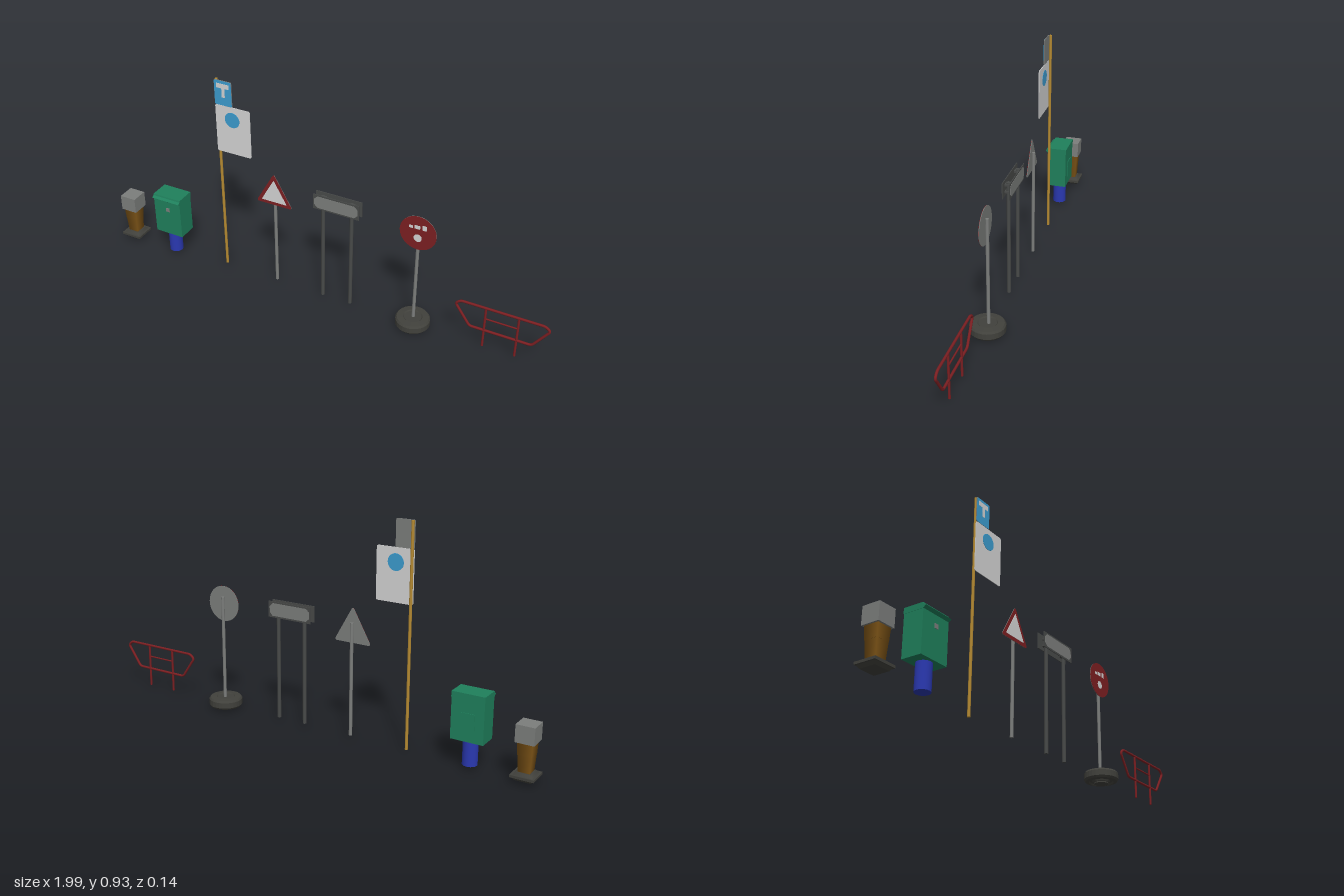
import * as THREE from 'three';

const mat = (name, color) => Object.assign(new THREE.MeshStandardMaterial({ color }), { name });
const M = {
  white: mat('sign white', 0xd4d4d4),
  grey: mat('metal grey', 0x7c7e7c),
  dark: mat('dark metal', 0x484a49),
  rubber: mat('rubber', 0x41413c),
  green: mat('box green', 0x1f805c),
  blue: mat('post blue', 0x2a38b0),
  gold: mat('pole gold', 0xb58a32),
  brown: mat('post brown', 0x7a5216),
  red: mat('sign red', 0x7c1f22),
  sky: mat('sky blue', 0x3c9ccf),
};

function add(group, name, geo, material, x = 0, y = 0, z = 0) {
  const m = new THREE.Mesh(geo, material);
  m.name = name;
  m.position.set(x, y, z);
  group.add(m);
  return m;
}
const box = (w, h, d) => new THREE.BoxGeometry(w, h, d);

// Upright post between two heights
function post(g, name, material, x, z, r, y0, y1, sides = 12) {
  return add(g, name, new THREE.CylinderGeometry(r, r, y1 - y0, sides), material, x, (y0 + y1) / 2, z);
}
// Thin disc facing front
function disc(g, name, material, x, y, z, r, t) {
  const m = add(g, name, new THREE.CylinderGeometry(r, r, t, 32), material, x, y, z);
  m.rotation.x = Math.PI / 2;
}
// Flat plate from outline points, optionally with corner rounding
function plate(pts, depth, round = 0) {
  const s = new THREE.Shape();
  const v = pts.map(p => new THREE.Vector2(...p));
  v.forEach((p, i) => {
    const a = v[(i + v.length - 1) % v.length], b = v[(i + 1) % v.length];
    const p0 = p.clone().add(a.clone().sub(p).setLength(round));
    const p1 = p.clone().add(b.clone().sub(p).setLength(round));
    if (i) s.lineTo(p0.x, p0.y); else s.moveTo(p0.x, p0.y);
    if (round) s.quadraticCurveTo(p.x, p.y, p1.x, p1.y);
  });
  return new THREE.ExtrudeGeometry(s, { depth, bevelEnabled: false, curveSegments: 5 });
}
const rect = (w, h) => [[-w / 2, -h / 2], [w / 2, -h / 2], [w / 2, h / 2], [-w / 2, h / 2]];

// Four-sided tapered block with flat sides to the axes
function taper(top, bottom, h) {
  const g = new THREE.CylinderGeometry(top * Math.SQRT1_2, bottom * Math.SQRT1_2, h, 4);
  g.rotateY(Math.PI / 4);
  return g.toNonIndexed();
}

function bollardLamp() {
  const g = new THREE.Group();
  g.name = 'bollardLamp';
  add(g, 'foot', taper(0.082, 0.066, 0.012), M.rubber, 0, 0.021);
  add(g, 'footRim', box(0.094, 0.01, 0.09), M.rubber, 0, 0.032);
  add(g, 'footTop', taper(0.056, 0.076, 0.01), M.rubber, 0, 0.042);
  add(g, 'lowerPost', taper(0.054, 0.046, 0.068), M.brown, 0, 0.08);
  add(g, 'upperPost', taper(0.06, 0.055, 0.052), M.brown, 0, 0.14);
  add(g, 'head', box(0.075, 0.07, 0.075), M.grey, 0, 0.2);
  g.position.x = -0.953;
  return g;
}

function serviceBox() {
  const g = new THREE.Group();
  g.name = 'serviceBox';
  post(g, 'foot', M.blue, 0, 0.006, 0.03, 0.015, 0.125, 24);
  add(g, 'body', box(0.134, 0.17, 0.085), M.green, 0, 0.205, 0.006);
  // Lid with a projecting front lip
  const lid = plate([[0.048, 0.288], [0.06, 0.298], [0.048, 0.304], [0.046, 0.311], [-0.038, 0.311], [-0.038, 0.288]].map(([z, y]) => [-z, y]).reverse(), 0.136);
  lid.rotateY(Math.PI / 2);
  add(g, 'lid', lid, M.green, -0.068);
  add(g, 'lock', box(0.018, 0.018, 0.004), M.grey, 0.003, 0.247, 0.049);
  add(g, 'backPlate', box(0.06, 0.075, 0.004), M.green, 0, 0.197, -0.037);
  g.position.x = -0.728;
  return g;
}

function stopSign() {
  const g = new THREE.Group();
  g.name = 'stopSign';
  post(g, 'pole', M.gold, -0.464, -0.006, 0.006, 0.015, 0.925);
  add(g, 'largeBoard', plate(rect(0.16, 0.215), 0.003, 0.008), M.white, -0.39, 0.707, 0.001);
  disc(g, 'blueDisc', M.sky, -0.393, 0.757, 0.0025, 0.034, 0.006);
  add(g, 'smallBoard', plate(rect(0.08, 0.11), 0.003, 0.006), M.grey, -0.43, 0.87, 0.001);
  add(g, 'smallBoardFace', plate(rect(0.078, 0.108), 0.001, 0.006), M.sky, -0.43, 0.87, 0.004);
  // Simple pale symbol
  add(g, 'symbolBar', box(0.058, 0.02, 0.001), M.white, -0.43, 0.902, 0.0055);
  add(g, 'symbolStem', box(0.014, 0.04, 0.001), M.white, -0.428, 0.872, 0.0055);
  return g;
}

function warningSign() {
  const g = new THREE.Group();
  g.name = 'warningSign';
  post(g, 'pole', M.grey, 0, -0.004, 0.007, 0.015, 0.49);
  const tri = k => [[-0.084 * k, -0.049 * k], [0.084 * k, -0.049 * k], [0, 0.1 * k]];
  add(g, 'backing', plate(tri(1), 0.002, 0.014), M.grey, 0, 0.455, 0.002);
  add(g, 'redBorder', plate(tri(1), 0.001, 0.014), M.red, 0, 0.455, 0.004);
  add(g, 'whiteField', plate(tri(0.7), 0.001, 0.004), M.white, 0, 0.455, 0.0055);
  g.position.x = -0.208;
  return g;
}

function nameBoard() {
  const g = new THREE.Group();
  g.name = 'nameBoard';
  for (const x of [-0.064, 0.064]) {
    post(g, 'post', M.dark, x, 0, 0.008, 0.015, 0.515);
    for (const y of [0.475, 0.505]) add(g, 'bracket', box(0.024, 0.008, 0.028), M.dark, x, y);
  }
  const w = 0.096, h = 0.027, c = 0.014;
  const panel = [[-w + c, -h], [w - c, -h], [w, -h + c], [w, h - c], [w - c, h], [-w + c, h], [-w, h - c], [-w, -h + c]];
  for (const s of [1, -1]) {
    add(g, 'board', box(0.205, 0.068, 0.003), M.dark, 0, 0.49, s * 0.0145);
    add(g, 'panel', plate(panel, 0.001), M.grey, 0, 0.49, s > 0 ? 0.0162 : -0.0172);
  }
  g.position.x = 0.081;
  return g;
}

function roundSign() {
  const g = new THREE.Group();
  g.name = 'roundSign';
  // Tyre base with a recessed underside
  const profile = [[0, 0.018], [0.02, 0.018], [0.024, 0.005], [0.034, 0.005], [0.038, 0.014], [0.048, 0.014], [0.052, 0.007],
    [0.066, 0.01], [0.072, 0.018], [0.072, 0.042], [0.066, 0.05], [0.04, 0.052], [0.036, 0.048], [0, 0.048]].map(p => new THREE.Vector2(...p));
  const lathe = new THREE.LatheGeometry(profile, 28).toNonIndexed();
  lathe.computeVertexNormals();
  add(g, 'tyreBase', lathe, M.rubber);
  add(g, 'baseBottom', new THREE.CylinderGeometry(0.03, 0.03, 0.008, 20), M.rubber, 0, 0.004);
  post(g, 'pole', M.grey, 0, -0.004, 0.007, 0.045, 0.5);
  disc(g, 'backing', M.grey, 0, 0.47, 0.003, 0.077, 0.002);
  disc(g, 'redFace', M.red, 0, 0.47, 0.0045, 0.077, 0.001);
  // Pale abstract marks
  for (const [x, y, w, h] of [[-0.03, 0.494, 0.016, 0.012], [-0.004, 0.497, 0.024, 0.016], [0.026, 0.5, 0.018, 0.022]])
    add(g, 'mark', box(w, h, 0.001), M.white, x, y, 0.0055);
  disc(g, 'markDot', M.white, 0, 0.447, 0.0055, 0.017, 0.001);
  g.position.x = 0.431;
  return g;
}

function barrier() {
  const g = new THREE.Group();
  g.name = 'barrier';
  // Closed rail with rounded corners
  const pts = [[-0.172, 0.206], [-0.193, 0.188], [-0.128, 0.095], [0.128, 0.095], [0.193, 0.188], [0.172, 0.206]]
    .map(p => new THREE.Vector3(p[0], p[1], 0));
  const path = new THREE.CurvePath();
  const cut = pts.map((p, i) => [-1, 1].map(d =>
    p.clone().add(pts[(i + d + 6) % 6].clone().sub(p).setLength(0.012))));
  pts.forEach((p, i) => {
    path.add(new THREE.QuadraticBezierCurve3(cut[i][0], p, cut[i][1]));
    path.add(new THREE.LineCurve3(cut[i][1], cut[(i + 1) % 6][0]));
  });
  add(g, 'rail', new THREE.TubeGeometry(path, 160, 0.0055, 8, true), M.red);
  for (const x of [-0.067, 0.067]) post(g, 'leg', M.red, x, 0, 0.005, 0.015, 0.206, 8);
  const bar = add(g, 'crossBar', new THREE.CylinderGeometry(0.0035, 0.0035, 0.134, 8), M.red, 0, 0.153);
  bar.rotation.z = Math.PI / 2;
  g.position.x = 0.799;
  return g;
}

export function createModel() {
  const model = new THREE.Group();
  model.name = 'streetFurniture';
  model.add(bollardLamp(), serviceBox(), stopSign(), warningSign(), nameBoard(), roundSign(), barrier());
  return model;
}
